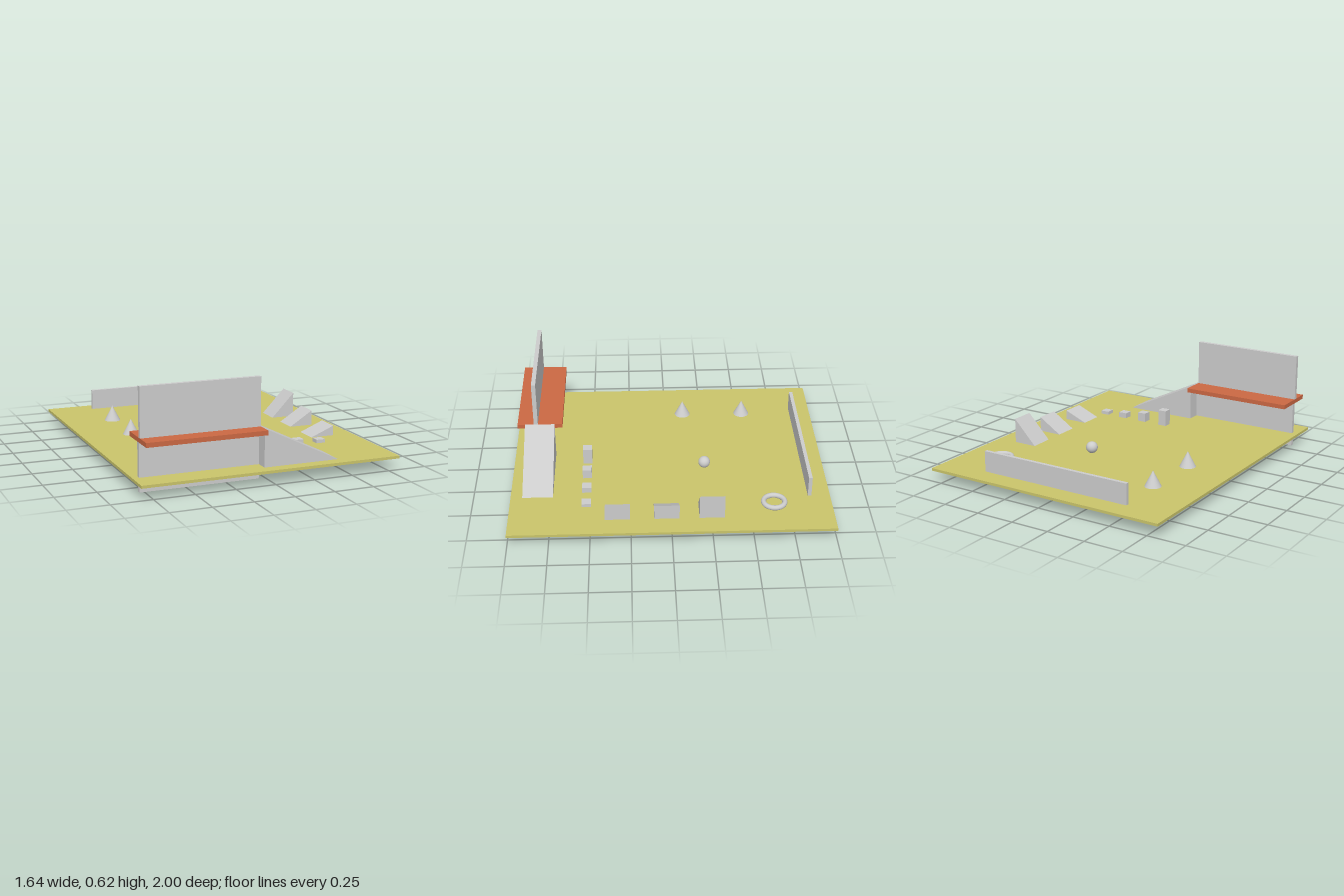
import * as THREE from 'three';

const material = (color) => new THREE.MeshStandardMaterial({ color });
const grey = material(0xcccccc);
const GROUND = 0.09;

export function createModel() {
  const model = new THREE.Group();
  model.name = 'playground';

  const add = (name, geometry, x, y, z, mat = grey) => {
    const mesh = new THREE.Mesh(geometry, mat);
    mesh.name = name;
    mesh.position.set(x, y, z);
    model.add(mesh);
    return mesh;
  };

  // box given by its limits on each axis
  const box = (name, [x0, x1], [y0, y1], [z0, z1], mat) =>
    add(name, new THREE.BoxGeometry(x1 - x0, y1 - y0, z1 - z0),
      (x0 + x1) / 2, (y0 + y1) / 2, (z0 + z1) / 2, mat);

  // solid ramp: thin edge at xLow, full height at xHigh
  const ramp = (name, xLow, xHigh, top, [z0, z1]) => {
    const profile = new THREE.Shape([
      new THREE.Vector2(xLow, GROUND),
      new THREE.Vector2(xHigh, GROUND),
      new THREE.Vector2(xHigh, top),
    ]);
    const geometry = new THREE.ExtrudeGeometry(profile, { depth: z1 - z0, bevelEnabled: false });
    add(name, geometry, 0, 0, z0);
  };

  // ground slab
  box('ground', [-0.82, 0.82], [0.073, GROUND], [-1, 1], material(0xc9c46a));

  // raised walkway: support wall, deck and screen above it
  const span = [-0.78, -0.04];
  box('supportWall', span, [0.003, 0.3], [0.82, 0.848]);
  box('deck', span, [0.295, 0.323], [0.685, 0.975], material(0xcb6843));
  box('screenWall', span, [0.31, 0.62], [0.843, 0.87]);
  ramp('walkwayRamp', 0.442, -0.04, 0.323, [0.735, 0.927]);

  // row of posts, each shorter than the last and sunk through the slab
  const posts = [[0.05, 0.095], [0.215, 0.05], [0.372, 0.026], [0.522, 0.012]];
  posts.forEach(([x, half], i) =>
    box(`post${i + 1}`, [x - 0.029, x + 0.029], [0.1 - half, 0.1 + half], [0.495, 0.553]));

  // three small ramps, rising in height towards the back
  [[0.255, 0.153], [-0.048, 0.187], [-0.325, 0.25]].forEach(([z, top], i) =>
    ramp(`smallRamp${i + 1}`, 0.53, 0.685, top, [z, z + 0.155]));

  // ring lying flat
  add('ring', new THREE.TorusGeometry(0.066, 0.016, 16, 48).rotateX(Math.PI / 2), 0.555, 0.106, -0.64);

  // ball
  add('ball', new THREE.SphereGeometry(0.038, 32, 20), 0.14, 0.128, -0.23);

  // cones
  [[-0.5, -0.525], [-0.505, -0.117]].forEach(([x, z], i) =>
    add(`cone${i + 1}`, new THREE.ConeGeometry(0.052, 0.1, 32), x, GROUND + 0.05, z));

  // long wall at the back
  box('backWall', [-0.54, 0.488], [0.097, 0.23], [-0.882, -0.859]);

  return model;
}
